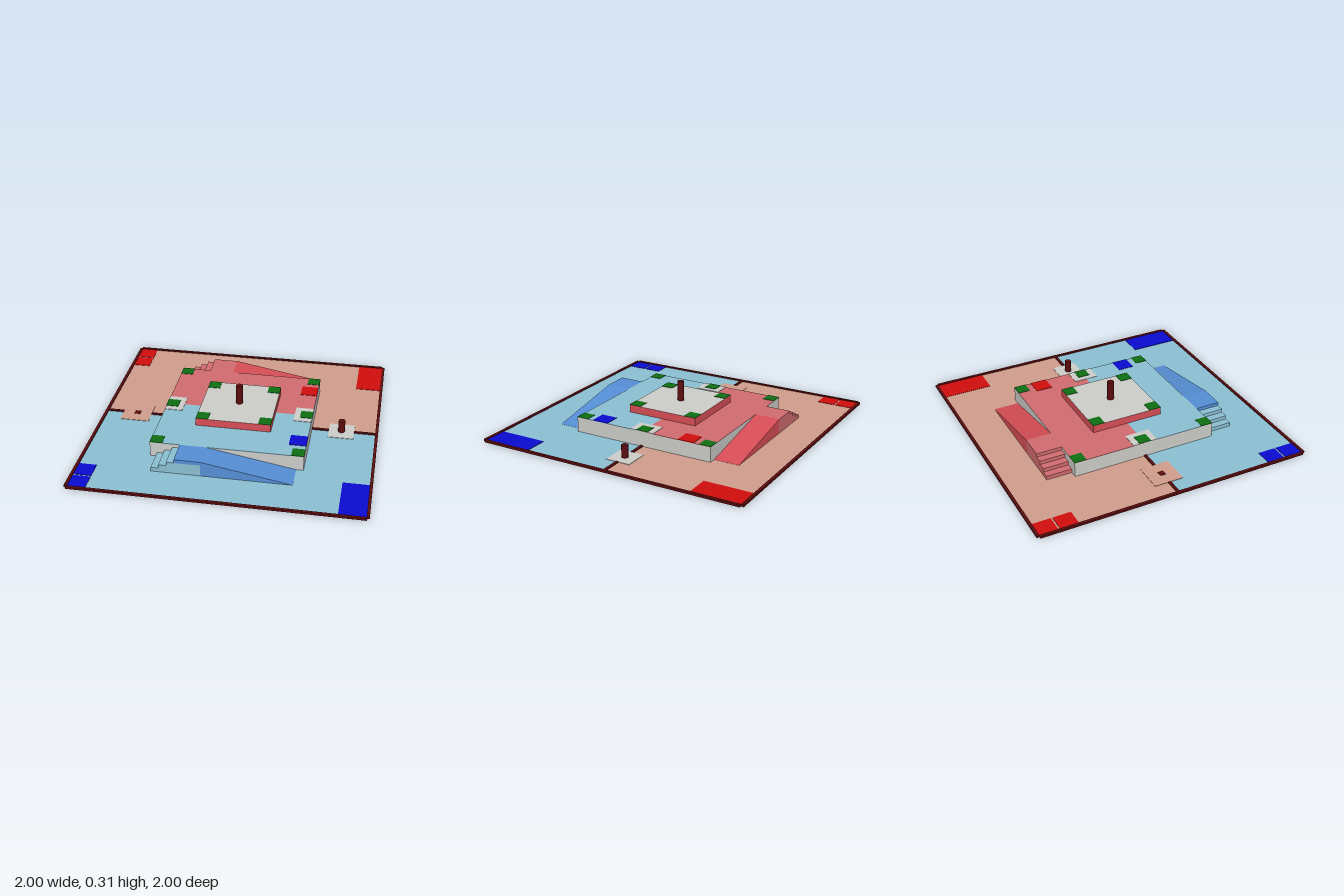
import * as THREE from 'three';

const mat = (name, color) => {
  const m = new THREE.MeshStandardMaterial({ color });
  m.name = name;
  return m;
};

export function createModel() {
  const model = new THREE.Group();
  model.name = 'arena';

  const skyBlue = mat('sky blue', 0x8cc0d3);
  const sand = mat('sand red', 0xd19e8c);
  const pink = mat('pink', 0xd26c70);
  const red = mat('soft red', 0xd84e56);
  const blue = mat('soft blue', 0x558fd6);
  const grey = mat('light grey', 0xcdcdca);
  const green = mat('green', 0x0f7012);
  const brightRed = mat('bright red', 0xd20d0d);
  const brightBlue = mat('bright blue', 0x0b0bd2);
  const maroon = mat('maroon', 0x5c0c0e);

  const add = (name, geometry, material) => {
    const mesh = new THREE.Mesh(geometry, material);
    mesh.name = name;
    model.add(mesh);
    return mesh;
  };
  // Box given by its limits on each axis
  const box = (name, material, x0, x1, y0, y1, z0, z1) => {
    const mesh = add(name, new THREE.BoxGeometry(x1 - x0, y1 - y0, z1 - z0), material);
    mesh.position.set((x0 + x1) / 2, (y0 + y1) / 2, (z0 + z1) / 2);
    return mesh;
  };
  // Thin square plate by centre
  const tile = (name, material, x, z, y, w, d = w) =>
    box(name, material, x - w / 2, x + w / 2, y, y + 0.003, z - d / 2, z + d / 2);

  const FLOOR = 0.006, DECK = 0.115, TOP = 0.17;

  // Platform and raised block
  box('platform', grey, -0.53, 0.53, FLOOR, DECK - 0.002, -0.53, 0.53);
  const block = box('raisedBlock', grey, -0.265, 0.265, DECK, TOP, -0.265, 0.265);
  block.material = [red, red, grey, red, red, red];

  // Each team's half, mirrored in z
  const teams = [
    { s: 1, name: 'blue', floor: skyBlue, deck: skyBlue, step: skyBlue, landing: blue, ramp: blue, zone: brightBlue },
    { s: -1, name: 'red', floor: sand, deck: pink, step: pink, landing: pink, ramp: red, zone: brightRed },
  ];
  for (const t of teams) {
    const part = (name, m, x0, x1, y0, y1, za, zb) =>
      box(t.name + name, m, x0, x1, y0, y1, Math.min(za * t.s, zb * t.s), Math.max(za * t.s, zb * t.s));

    part('Floor', t.floor, -0.985, 0.985, 0, FLOOR, 0, 0.985);
    part('Deck', t.deck, -0.53, 0.53, DECK - 0.002, DECK, 0, 0.53);

    // Stairs, landing and ramp
    [[-0.48, 0.035], [-0.427, 0.062], [-0.373, 0.089]].forEach(([x, y], i, all) =>
      part('Step' + (i + 1), t.step, x, -0.14, i ? all[i - 1][1] : FLOOR, y, 0.53, 0.713));
    part('Landing', t.landing, -0.32, -0.14, 0.089, DECK, 0.53, 0.713);
    const wedge = new THREE.Shape([
      new THREE.Vector2(-0.14, 0.003), new THREE.Vector2(0.48, 0.003),
      new THREE.Vector2(0.48, 0.007), new THREE.Vector2(-0.14, DECK),
    ]);
    const ramp = add(t.name + 'Ramp',
      new THREE.ExtrudeGeometry(wedge, { depth: 0.183, bevelEnabled: false }), t.ramp);
    ramp.position.z = t.s > 0 ? 0.53 : -0.713;

    // Marked zones on floor and deck
    part('LargeZone', t.zone, 0.80, 0.98, FLOOR, FLOOR + 0.003, 0.627, 0.98);
    part('OuterSmallZone', t.zone, -0.98, -0.857, FLOOR, FLOOR + 0.003, 0.85, 0.98);
    part('InnerSmallZone', t.zone, -0.98, -0.857, FLOOR, FLOOR + 0.003, 0.71, 0.838);
    part('DeckZone', t.zone, 0.41, 0.53, DECK, DECK + 0.003, 0.28, 0.4);
  }

  // Green tiles on platform and block
  for (const sx of [-1, 1]) {
    for (const sz of [-1, 1]) {
      tile('deckCornerTile', green, sx * 0.487, sz * 0.487, DECK, 0.088);
      tile('blockCornerTile', green, sx * 0.221, sz * 0.221, TOP, 0.088);
    }
    tile('deckSidePatch', grey, sx * 0.466, 0, DECK, 0.128, 0.18);
    tile('deckSideTile', green, sx * 0.487, 0, DECK + 0.003, 0.088);
  }

  // Floor patches at the sides
  tile('postPatch', grey, 0.74, 0, FLOOR, 0.18);
  tile('markerPatch', sand, -0.76, 0, FLOOR, 0.21);
  tile('marker', maroon, -0.76, 0, FLOOR + 0.003, 0.042);

  // Posts
  const post = (name, x, y0, y1) => {
    const p = add(name, new THREE.CylinderGeometry(0.024, 0.024, y1 - y0, 16), maroon);
    p.position.set(x, (y0 + y1) / 2, 0);
  };
  post('centrePost', 0, TOP, 0.313);
  post('sidePost', 0.74, FLOOR, 0.097);

  // Border walls and dividing line
  for (const s of [-1, 1]) {
    box('sideWall', maroon, s * 0.99 - 0.01, s * 0.99 + 0.01, 0, 0.015, -0.98, 0.98);
    box('endWall', maroon, -0.985, 0.985, 0, 0.015, s * 0.99 - 0.01, s * 0.99 + 0.01);
  }
  for (const [x0, x1] of [[-0.98, -0.865], [-0.655, -0.53], [0.53, 0.65], [0.83, 0.98]])
    box('dividingLine', maroon, x0, x1, FLOOR, 0.014, -0.01, 0.01);

  return model;
}
